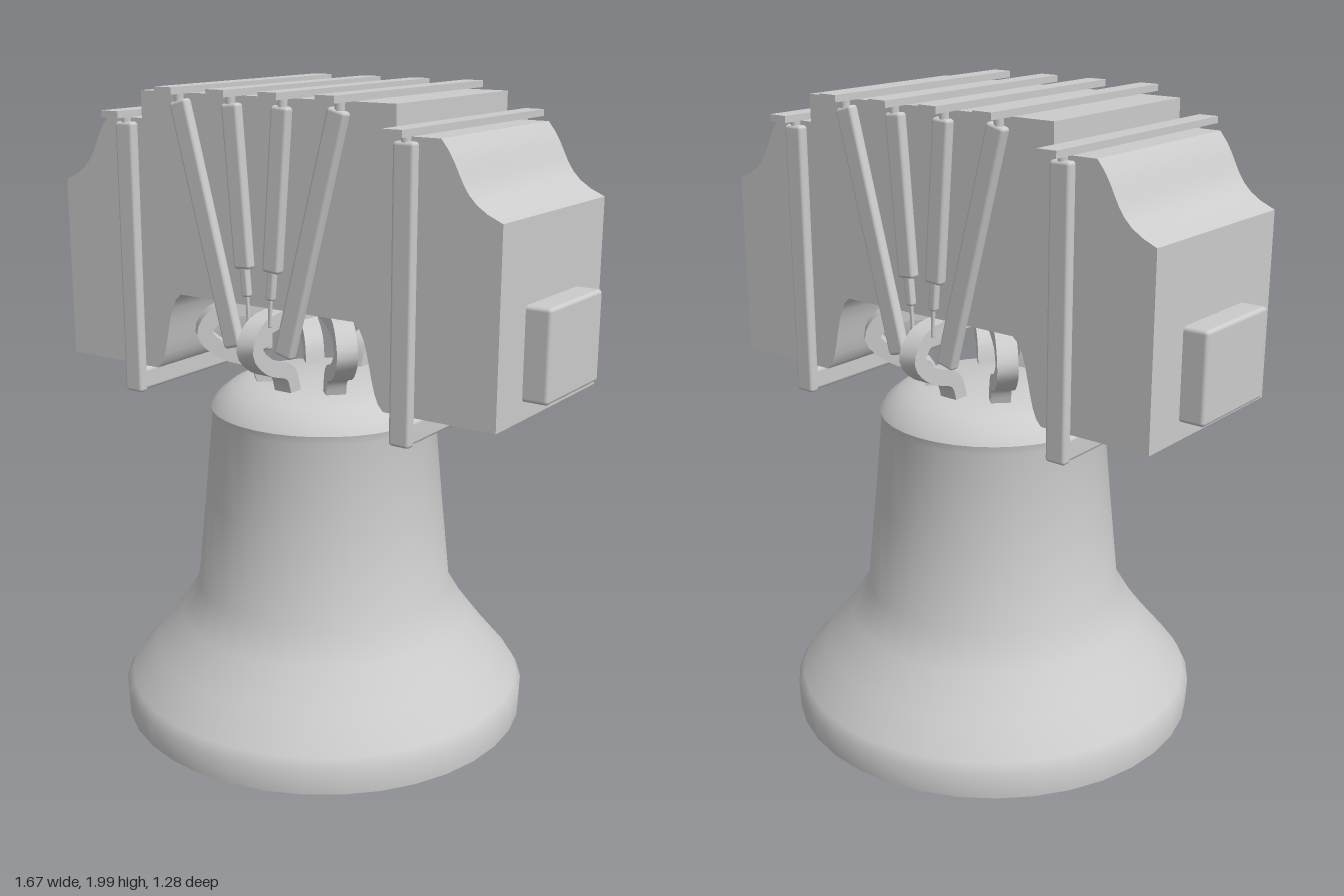
import * as THREE from 'three';
import { toCreasedNormals } from 'three/addons/utils/BufferGeometryUtils.js';
import { RoundedBoxGeometry } from 'three/addons/geometries/RoundedBoxGeometry.js';

const grey = new THREE.MeshStandardMaterial({ color: 0xcccccc });

function add(parent, name, geometry, x = 0, y = 0, z = 0) {
  const mesh = new THREE.Mesh(geometry, grey);
  mesh.name = name;
  mesh.position.set(x, y, z);
  parent.add(mesh);
  return mesh;
}

// Flat bar with softened edges running between two points of a z plane
function bar(parent, name, a, b, z, width, depth) {
  const dx = b[0] - a[0], dy = b[1] - a[1];
  const geometry = new RoundedBoxGeometry(width, Math.hypot(dx, dy), depth, 2, Math.min(width, depth) * 0.3);
  const mesh = add(parent, name, geometry, (a[0] + b[0]) / 2, (a[1] + b[1]) / 2, z);
  mesh.rotation.z = Math.atan2(-dx, dy);
  return mesh;
}

// Hollow bell: outer wall from crown to lip, then back up inside
function bellGeometry() {
  const profile = [
    [0, 1.12], [0.23, 1.12], [0.285, 1.1], [0.33, 1.065], [0.35, 1.035], [0.345, 1.01],
    [0.37, 0.75], [0.4, 0.46], [0.46, 0.36], [0.54, 0.255], [0.62, 0.16], [0.638, 0.13],
    [0.635, 0.05], [0.54, 0.01], [0.525, 0.015],
    [0.515, 0.08], [0.44, 0.25], [0.36, 0.45], [0.33, 0.75], [0.3, 0.98], [0.2, 1.05], [0, 1.06],
  ].map(([r, y]) => new THREE.Vector2(r, y)).reverse();
  return toCreasedNormals(new THREE.LatheGeometry(profile, 36), 0.6);
}

// Arched yoke: stepped top, scooped shoulders, hollow over the crown
function yokeGeometry() {
  const s = new THREE.Shape();
  s.moveTo(-0.76, 1.15);
  s.lineTo(-0.41, 1.15);
  s.bezierCurveTo(-0.36, 1.18, -0.37, 1.36, -0.31, 1.39);
  s.lineTo(0.31, 1.39);
  s.bezierCurveTo(0.37, 1.36, 0.36, 1.18, 0.41, 1.15);
  s.lineTo(0.76, 1.15);
  s.lineTo(0.76, 1.7);
  s.bezierCurveTo(0.62, 1.75, 0.65, 1.82, 0.575, 1.9);
  s.lineTo(0.44, 1.9);
  s.lineTo(0.44, 1.98);
  s.lineTo(-0.44, 1.98);
  s.lineTo(-0.44, 1.9);
  s.lineTo(-0.575, 1.9);
  s.bezierCurveTo(-0.65, 1.82, -0.62, 1.75, -0.76, 1.7);
  s.closePath();
  const g = new THREE.ExtrudeGeometry(s, { depth: 0.6, bevelEnabled: false, curveSegments: 8 });
  g.translate(0, 0, -0.3);
  return toCreasedNormals(g, 0.6);
}

// Crown loop in the x-y plane: a band between an outer and an inner curve
function loopGeometry() {
  const path = new THREE.CatmullRomCurve3([
    [0.18, 1.1], [0.21, 1.18], [0.31, 1.22], [0.365, 1.275], [0.33, 1.33], [0.25, 1.35], [0, 1.35],
  ].map(([x, y]) => new THREE.Vector3(x, y, 0)), false, 'centripetal');
  const n = 24, outer = [], inner = [];
  for (let i = 0; i <= n; i++) {
    const p = path.getPoint(i / n), t = path.getTangent(i / n);
    outer.push(new THREE.Vector2(p.x + t.y * 0.024, p.y - t.x * 0.024));
    inner.unshift(new THREE.Vector2(p.x - t.y * 0.024, p.y + t.x * 0.024));
  }
  const g = new THREE.ExtrudeGeometry(new THREE.Shape([...outer, ...inner]), { depth: 0.06, bevelEnabled: false });
  g.translate(0, 0, -0.03);
  return toCreasedNormals(g, 0.6);
}

export function createModel() {
  const model = new THREE.Group();
  model.name = 'hangingBell';
  add(model, 'bell', bellGeometry());
  add(model, 'yoke', yokeGeometry());

  // Six loops joining the bell to the yoke
  const crown = new THREE.Group();
  crown.name = 'crown';
  model.add(crown);
  const loop = loopGeometry();
  for (const degrees of [45, 90, 135, 225, 270, 315]) {
    add(crown, 'crownLoop', loop).rotation.y = THREE.MathUtils.degToRad(degrees);
  }

  for (const side of [-1, 1]) {
    // Axle stub on each end of the yoke
    add(model, 'axleStub', new RoundedBoxGeometry(0.12, 0.265, 0.315, 2, 0.012), side * 0.775, 1.335, 0);

    // Plates across the top of the yoke
    for (const [x, y] of [[0.483, 1.915], [0.277, 1.99], [0.09, 1.99]]) {
      add(model, 'topPlate', new THREE.BoxGeometry(0.062, 0.02, 0.78), side * x, y, 0);
    }
    // Bar passing beneath the yoke
    add(model, 'lowerBar', new RoundedBoxGeometry(0.066, 0.07, 0.66, 2, 0.012), side * 0.483, 1.11, 0);

    for (const z of [-0.32, 0.32]) {
      // Upright and slanted straps
      bar(model, 'uprightStrap', [side * 0.483, 1.07], [side * 0.483, 1.89], z, 0.066, 0.034);
      bar(model, 'slantedStrap', [side * 0.09, 1.265], [side * 0.275, 1.96], z, 0.062, 0.034);
      bar(model, 'innerStrap', [side * 0.05, 1.5], [side * 0.087, 1.96], z, 0.058, 0.034);
      bar(model, 'innerStrapTip', [side * 0.042, 1.42], [side * 0.05, 1.51], z, 0.026, 0.024);
      bar(model, 'innerStrapPin', [side * 0.038, 1.34], [side * 0.042, 1.43], z, 0.01, 0.01);

      // Bolts between straps and plates
      for (const [x, y] of [[0.483, 1.895], [0.277, 1.965], [0.09, 1.965]]) {
        add(model, 'bolt', new THREE.CylinderGeometry(0.014, 0.014, 0.05, 10), side * x, y, z);
      }
    }
  }
  return model;
}
